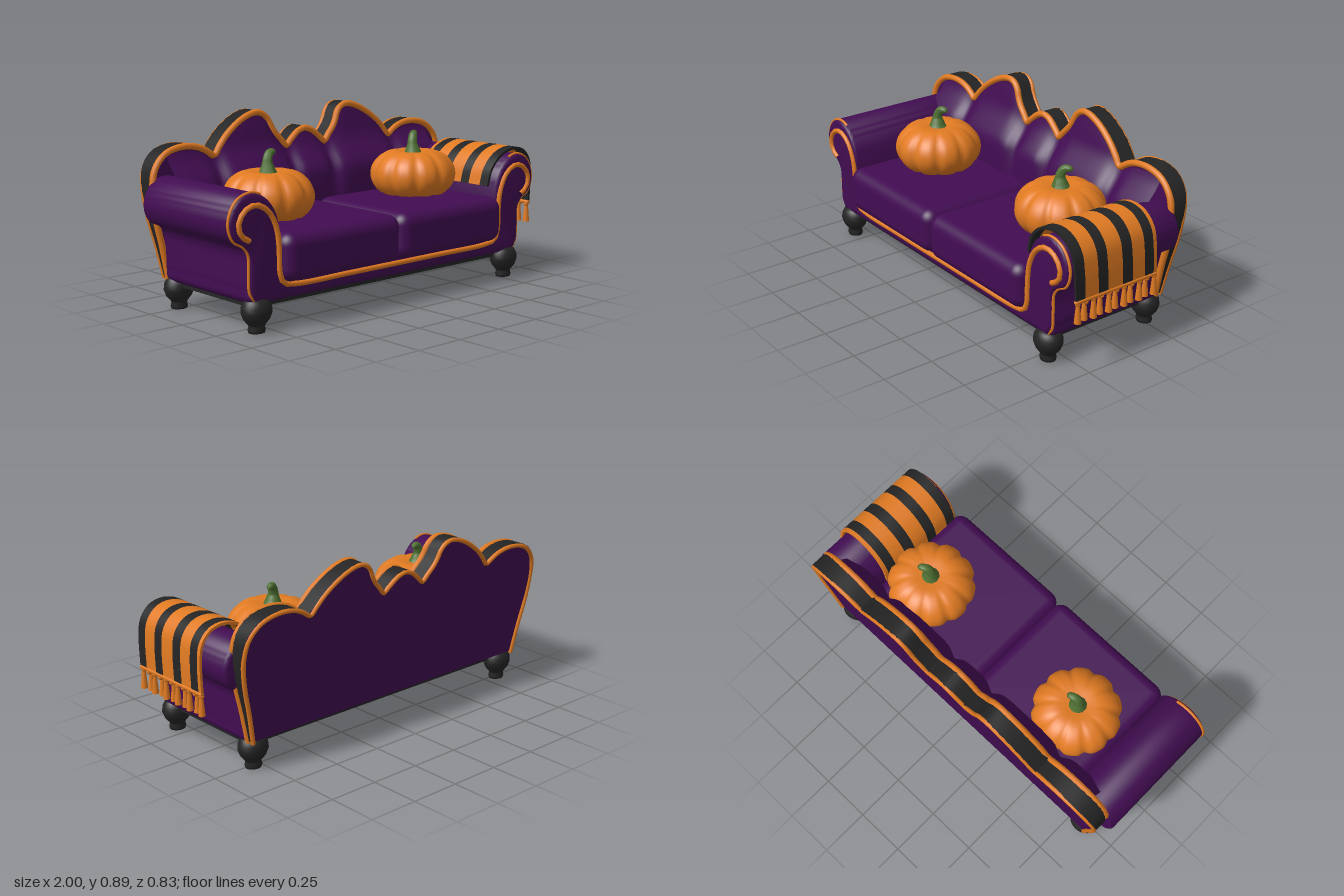
import * as THREE from 'three';
import { mergeVertices, toCreasedNormals } from 'three/addons/utils/BufferGeometryUtils.js';
import { RoundedBoxGeometry } from 'three/addons/geometries/RoundedBoxGeometry.js';

const flat = (name, color) => {
  const m = new THREE.MeshStandardMaterial({ color });
  m.name = name;
  return m;
};
const purple = flat('purple velvet', 0x420d52);
const orange = flat('orange', 0xe07a22);
const black = flat('black', 0x242424);
const green = flat('stem green', 0x4f7033);

const V = (x, y, z = 0) => new THREE.Vector3(x, y, z);
const spline = (pts) => new THREE.CatmullRomCurve3(pts.map((p) => V(...p)));

function add(parent, name, geometry, material, x = 0, y = 0, z = 0) {
  const mesh = new THREE.Mesh(geometry, material);
  mesh.name = name;
  mesh.position.set(x, y, z);
  parent.add(mesh);
  return mesh;
}

// Moves every vertex of a geometry by a rule
function warp(geometry, rule) {
  const p = geometry.attributes.position, v = new THREE.Vector3();
  for (let i = 0; i < p.count; i++) {
    v.fromBufferAttribute(p, i);
    rule(v, i);
    p.setXYZ(i, v.x, v.y, v.z);
  }
  geometry.computeVertexNormals();
  return geometry;
}

// Piecewise linear lookup in [key, value] pairs
function lookup(table, k) {
  for (let i = 1; i < table.length; i++) {
    const [a, va] = table[i - 1], [b, vb] = table[i];
    if (k <= b) return va + (vb - va) * Math.max(0, (k - a) / (b - a || 1));
  }
  return table[table.length - 1][1];
}

const piping = (parent, name, pts, r) =>
  add(parent, name, new THREE.TubeGeometry(new THREE.CatmullRomCurve3(pts), pts.length * 3, r, 8), orange);

const mirrorPath = (half) => [...half.slice(1).reverse().map((p) => V(-p.x, p.y, p.z)), ...half];

// Scalloped back: three kinds of lobe meeting in sharp dips
const lobes = [
  [[0, 0.788], [0.045, 0.774], [0.125, 0.71]],
  [[0.125, 0.71], [0.2, 0.79], [0.24, 0.862], [0.29, 0.886], [0.38, 0.865], [0.49, 0.795], [0.575, 0.705]],
  [[0.575, 0.705], [0.66, 0.75], [0.76, 0.762], [0.86, 0.735], [0.92, 0.67], [0.938, 0.58], [0.925, 0.45], [0.89, 0.3], [0.86, 0.15]],
];
const backHalf = lobes.flatMap((l, i) => spline(l).getPoints(8 + i * 6).slice(i ? 1 : 0));
const crest = backHalf.filter((p) => p.y > 0.6).map((p) => [p.x, p.y]);
const backFront = (y) => lookup([[0.15, -0.285], [0.6, -0.287], [0.76, -0.3], [0.89, -0.318]], y);
const backRear = (y) => lookup([[0.15, -0.318], [0.55, -0.36], [0.76, -0.395], [0.89, -0.41]], y);

function addBack(sofa) {
  const outline = mirrorPath(backHalf);
  const panel = new THREE.ExtrudeGeometry(new THREE.Shape(outline), { depth: 1, bevelEnabled: false });
  warp(panel, (v) => { v.z = v.z > 0.5 ? backFront(v.y) : backRear(v.y); });
  add(sofa, 'scalloped back', toCreasedNormals(panel, 0.6), [purple, black]);
  const inset = (z) => outline.map((p) => V(p.x * 0.99, p.y - 0.01, z(p.y)));
  piping(sofa, 'back front piping', inset(backFront), 0.016);
  piping(sofa, 'back rear piping', inset(backRear), 0.011);

  // Padded inside back with creases running down from the dips
  const pad = new THREE.PlaneGeometry(2, 1, 96, 24);
  warp(pad, (v) => {
    const t = v.y + 0.5, x = v.x * 0.84, ax = Math.abs(x);
    const y = 0.36 + t * (lookup(crest, ax) - 0.03 - 0.36);
    const crease = Math.exp(-(((ax - 0.125) / 0.035) ** 2)) + Math.exp(-(((ax - 0.575) / 0.04) ** 2));
    const puff = (1 - 0.85 * THREE.MathUtils.smoothstep(y, 0.56, 0.76)) * (1 - t ** 5);
    v.set(x, y, backFront(y) + 0.002 + 0.1 * puff * (1 - 0.5 * t * crease));
  });
  add(sofa, 'back padding', pad, purple);
}

// Rolled arm section, from inner foot over the scroll to outer foot
const armPoints = [[0.7, 0.15], [0.7, 0.3], [0.702, 0.44], [0.72, 0.53], [0.775, 0.6], [0.85, 0.632], [0.925, 0.612], [0.97, 0.555],
  [0.98, 0.49], [0.955, 0.43], [0.905, 0.4], [0.875, 0.36], [0.872, 0.27], [0.868, 0.19], [0.84, 0.145]];

function addArms(sofa) {
  const section = spline(armPoints).getPoints(70);
  for (const side of [1, -1]) {
    const shape = new THREE.Shape(section.map((p) => new THREE.Vector2(side * p.x, p.y)));
    const arm = new THREE.ExtrudeGeometry(shape, {
      depth: 0.62, bevelThickness: 0.02, bevelSize: 0.02, bevelOffset: -0.02, bevelSegments: 4,
    });
    add(sofa, side > 0 ? 'left arm' : 'right arm', toCreasedNormals(arm, 0.7), purple, 0, 0, -0.28);
    const edge = section.slice(22).map((p) => V(side * p.x, p.y, 0.344));
    piping(sofa, 'arm edge piping', edge, 0.007);
  }
  const front = [[0, 0.195], [0.3, 0.195], [0.62, 0.197], [0.69, 0.212], [0.712, 0.26], [0.715, 0.36], [0.728, 0.46], [0.77, 0.54],
    [0.84, 0.578], [0.9, 0.562], [0.937, 0.51], [0.925, 0.455], [0.88, 0.425]];
  piping(sofa, 'front piping', mirrorPath(front.map(([x, y]) => V(x, y, 0.362))), 0.013);
}

function addSeat(sofa) {
  add(sofa, 'seat frame', new RoundedBoxGeometry(1.74, 0.14, 0.66, 4, 0.04), purple, 0, 0.2, 0.028);
  add(sofa, 'underside', new THREE.BoxGeometry(1.66, 0.06, 0.58), black, 0, 0.14, 0.025);
  for (const s of [-1, 1]) {
    const cushion = new RoundedBoxGeometry(0.71, 0.225, 0.66, 6, 0.06);
    add(sofa, 'seat cushion', cushion, purple, s * 0.351, 0.3225, 0.08);
  }
  // Bun feet
  const profile = [[0, 0], [0.034, 0], [0.037, 0.012], [0.033, 0.028], [0.036, 0.036], [0.055, 0.062], [0.065, 0.092],
    [0.063, 0.118], [0.052, 0.143], [0.035, 0.156], [0, 0.158]].map(([x, y]) => new THREE.Vector2(x, y));
  const foot = new THREE.LatheGeometry(profile, 28);
  for (const x of [-0.81, 0.81]) for (const z of [0.318, -0.263]) {
    add(sofa, 'foot', foot, black, x, 0, z).scale.x = 1.15;
  }
}

function addPumpkin(root, x, z, turn) {
  const pumpkin = new THREE.Group();
  pumpkin.name = 'pumpkin cushion';
  pumpkin.position.set(x, 0.53, z);
  pumpkin.rotation.y = turn;
  root.add(pumpkin);
  // Ribbed, flattened ball with a dimpled top
  let ball = new THREE.SphereGeometry(1, 80, 28);
  ball.deleteAttribute('uv');
  ball.deleteAttribute('normal');
  ball = mergeVertices(ball, 1e-4);
  warp(ball, (v) => {
    const r = Math.hypot(v.x, v.z), a = Math.atan2(v.z, v.x);
    const rib = 1 - 0.08 * Math.abs(Math.cos(5 * a)) ** 8;
    const k = r > 1e-4 ? (0.217 * r ** 0.85 * rib) / r : 0;
    const dimple = 0.03 * Math.exp(-((r / 0.35) ** 2)) * Math.sign(v.y);
    v.set(v.x * k, (v.y * 0.137 - dimple) * (0.9 + 0.1 * rib), v.z * k);
  });
  add(pumpkin, 'pumpkin body', ball, orange);
  // Tapered, hooked stem
  const path = spline([[0, 0.08, 0], [-0.004, 0.125, 0], [-0.004, 0.165, -0.002], [0.012, 0.196, -0.008], [0.038, 0.2, -0.016], [0.05, 0.19, -0.02]]);
  const segments = 24, radial = 10;
  const stem = new THREE.TubeGeometry(path, segments, 1, radial);
  warp(stem, (v, i) => {
    const t = Math.floor(i / (radial + 1)) / segments;
    const c = path.getPointAt(t);
    const r = lookup([[0, 0.058], [0.25, 0.038], [0.45, 0.025], [0.75, 0.02], [0.95, 0.015], [1, 0]], t);
    v.sub(c).multiplyScalar(r).add(c);
  });
  add(pumpkin, 'pumpkin stem', stem, green);
}

// Striped throw draped over the left arm
function addBlanket(root) {
  const blanket = new THREE.Group();
  blanket.name = 'striped throw';
  root.add(blanket);
  const drape = spline([[0.662, 0.48], [0.685, 0.56], [0.745, 0.624], [0.83, 0.652], [0.905, 0.638], [0.955, 0.585], [0.97, 0.5], [0.972, 0.365]]);
  const inner = [], outer = [];
  for (let i = 0; i <= 36; i++) {
    const p = drape.getPointAt(i / 36), t = drape.getTangentAt(i / 36);
    inner.push(new THREE.Vector2(p.x, p.y));
    outer.unshift(new THREE.Vector2(p.x - t.y * 0.013, p.y + t.x * 0.013));
  }
  const shape = new THREE.Shape([...inner, ...outer]);
  const lean = (v) => { v.z += (v.y - 0.65) * 0.05; };
  const cuts = [0.337, 0.285, 0.21, 0.155, 0.07, 0.012, -0.06, -0.113, -0.133];
  for (let i = 0; i < cuts.length - 1; i++) {
    const strip = new THREE.ExtrudeGeometry(shape, { depth: cuts[i] - cuts[i + 1], bevelEnabled: false });
    strip.translate(0, 0, cuts[i + 1]);
    add(blanket, 'throw stripe', toCreasedNormals(warp(strip, lean), 0.7), i % 2 ? orange : black);
  }
  // Hem and tassels
  add(blanket, 'throw hem', new RoundedBoxGeometry(0.024, 0.02, 0.475, 2, 0.009), orange, 0.978, 0.363, 0.089);
  const tassel = new THREE.CylinderGeometry(0.008, 0.017, 0.1, 10);
  for (let i = 0; i < 11; i++) {
    const z = 0.308 - i * 0.0445;
    add(blanket, 'tassel', tassel, orange, i % 2 ? 0.968 : 0.978, 0.31, z);
    add(blanket, 'tassel knot', new THREE.SphereGeometry(0.013, 10, 8), orange, 0.977, 0.352, z);
  }
}

export function createModel() {
  const root = new THREE.Group();
  root.name = 'pumpkin sofa';
  const sofa = new THREE.Group();
  sofa.name = 'sofa';
  sofa.position.x = -0.016;
  root.add(sofa);
  addBack(sofa);
  addArms(sofa);
  addSeat(sofa);
  addPumpkin(root, -0.495, 0.002, 0);
  addPumpkin(root, 0.465, -0.014, 0.25);
  addBlanket(root);
  return root;
}
